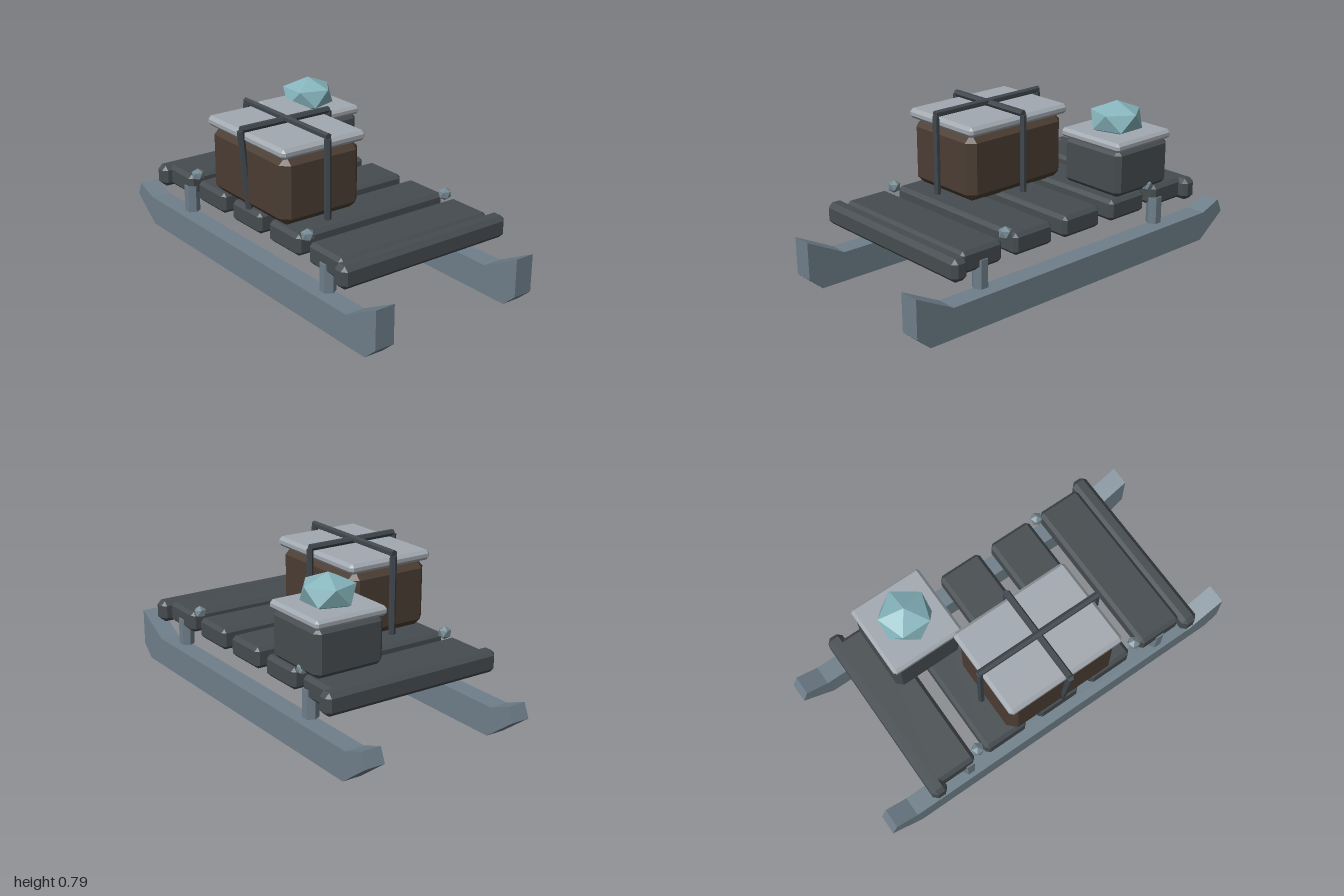
import * as THREE from 'three';
import { ConvexGeometry } from 'three/addons/geometries/ConvexGeometry.js';

const paint = (color) => new THREE.MeshStandardMaterial({ color, flatShading: true });
const steel = paint(0x6f7f8a), darkWood = paint(0x464c50), brown = paint(0x4b3d33);
const lidGrey = paint(0xa2a9b0), strapDark = paint(0x3f474d), ice = paint(0x86b4bc), knobBlue = paint(0x73868f);

// Box given by its min/max corners, every edge chamfered by c
function chamferBox([x0, y0, z0], [x1, y1, z1], c) {
  const half = [(x1 - x0) / 2, (y1 - y0) / 2, (z1 - z0) / 2];
  const points = [];
  for (const sx of [-1, 1]) for (const sy of [-1, 1]) for (const sz of [-1, 1])
    for (let axis = 0; axis < 3; axis++) {
      const p = [sx, sy, sz].map((s, i) => s * (half[i] - (i === axis ? 0 : c)));
      points.push(new THREE.Vector3(...p));
    }
  return new ConvexGeometry(points).translate((x0 + x1) / 2, (y0 + y1) / 2, (z0 + z1) / 2);
}

// Twenty-sided gem standing on a vertex: two staggered rings of five plus two poles
function gem(radius, height) {
  const points = [new THREE.Vector3(0, height, 0), new THREE.Vector3(0, -height, 0)];
  for (let i = 0; i < 10; i++) {
    const a = (i * Math.PI) / 5, up = i % 2 ? -1 : 1;
    points.push(new THREE.Vector3(0.894 * radius * Math.cos(a), 0.447 * height * up, 0.894 * radius * Math.sin(a)));
  }
  return new ConvexGeometry(points);
}

// Six-sided bar between two points
function bar(a, b, radius) {
  const from = new THREE.Vector3(...a), to = new THREE.Vector3(...b);
  const dir = to.clone().sub(from);
  const geometry = new THREE.CylinderGeometry(radius, radius, dir.length(), 6);
  geometry.applyQuaternion(new THREE.Quaternion().setFromUnitVectors(new THREE.Vector3(0, 1, 0), dir.normalize()));
  const mid = from.add(to).multiplyScalar(0.5);
  return geometry.translate(mid.x, mid.y, mid.z);
}

export function createModel() {
  const sled = new THREE.Group();
  sled.name = 'cargoSled';
  const add = (name, geometry, material) => {
    const mesh = new THREE.Mesh(geometry, material);
    mesh.name = name;
    sled.add(mesh);
    return mesh;
  };

  // Runner side profile as (z, y)
  const profile = [[1, 0.25], [0.8, 0.147], [-0.855, 0.147], [-0.97, 0.19], [-1, 0.12], [-0.84, 0], [0.93, 0], [1, 0.062]];
  const runner = new THREE.ExtrudeGeometry(
    new THREE.Shape(profile.map(([z, y]) => new THREE.Vector2(z, y))), { depth: 0.1, bevelEnabled: false });
  runner.translate(0, 0, -0.05).rotateY(-Math.PI / 2);

  // Runners, posts and deck knobs on both sides
  for (const [side, s] of [['left', 1], ['right', -1]]) {
    const x = 0.407 * s;
    add(side + 'Runner', runner, steel).position.x = x;
    for (const [end, postZ, knobZ] of [['Front', 0.61, 0.46], ['Rear', -0.525, -0.462]]) {
      add(side + end + 'Post', bar([x, 0.172, postZ], [x, 0.31, postZ], 0.038), steel);
      add(side + end + 'Knob', gem(0.034, 0.033), knobBlue).position.set(x, 0.382, knobZ);
    }
  }

  // Deck planks and the wider end bars
  [0.612, 0.306, 0, -0.308, -0.61].forEach((z, i) =>
    add('plank' + (i + 1), chamferBox([-0.433, 0.264, z - 0.118], [0.433, 0.369, z + 0.118], 0.018), darkWood));
  add('frontBar', chamferBox([-0.477, 0.26, 0.725], [0.477, 0.369, 0.81], 0.022), darkWood);
  add('rearBar', chamferBox([-0.477, 0.26, -0.757], [0.477, 0.369, -0.675], 0.022), darkWood);

  // Large strapped crate
  add('largeCrate', chamferBox([-0.434, 0.364, -0.288], [0.01, 0.7, 0.322], 0.04), brown);
  add('largeCrateLid', chamferBox([-0.445, 0.696, -0.297], [0.026, 0.746, 0.331], 0.016), lidGrey);

  // Small crate with a crystal on its lid
  add('smallCrate', chamferBox([0.055, 0.364, -0.6], [0.426, 0.604, -0.235], 0.027), darkWood);
  add('smallCrateLid', chamferBox([0.046, 0.598, -0.607], [0.432, 0.643, -0.225], 0.014), lidGrey);
  add('crystal', gem(0.142, 0.092), ice).position.set(0.24, 0.694, -0.416);

  // Straps over the large crate: one lengthwise, one crosswise
  const straps = {
    lengthStrapTop: [[-0.21, 0.769, -0.312], [-0.21, 0.769, 0.352]],
    lengthStrapFront: [[-0.21, 0.366, 0.347], [-0.21, 0.757, 0.347]],
    lengthStrapRear: [[-0.21, 0.366, -0.306], [-0.21, 0.757, -0.306]],
    crossStrapTop: [[-0.457, 0.761, 0.018], [0.042, 0.761, 0.018]],
    crossStrapLeft: [[0.041, 0.366, 0.018], [0.041, 0.755, 0.018]],
    crossStrapRight: [[-0.42, 0.366, 0.018], [-0.459, 0.755, 0.018]],
  };
  for (const [name, [a, b]] of Object.entries(straps)) add(name, bar(a, b, 0.0172), strapDark);

  return sled;
}
